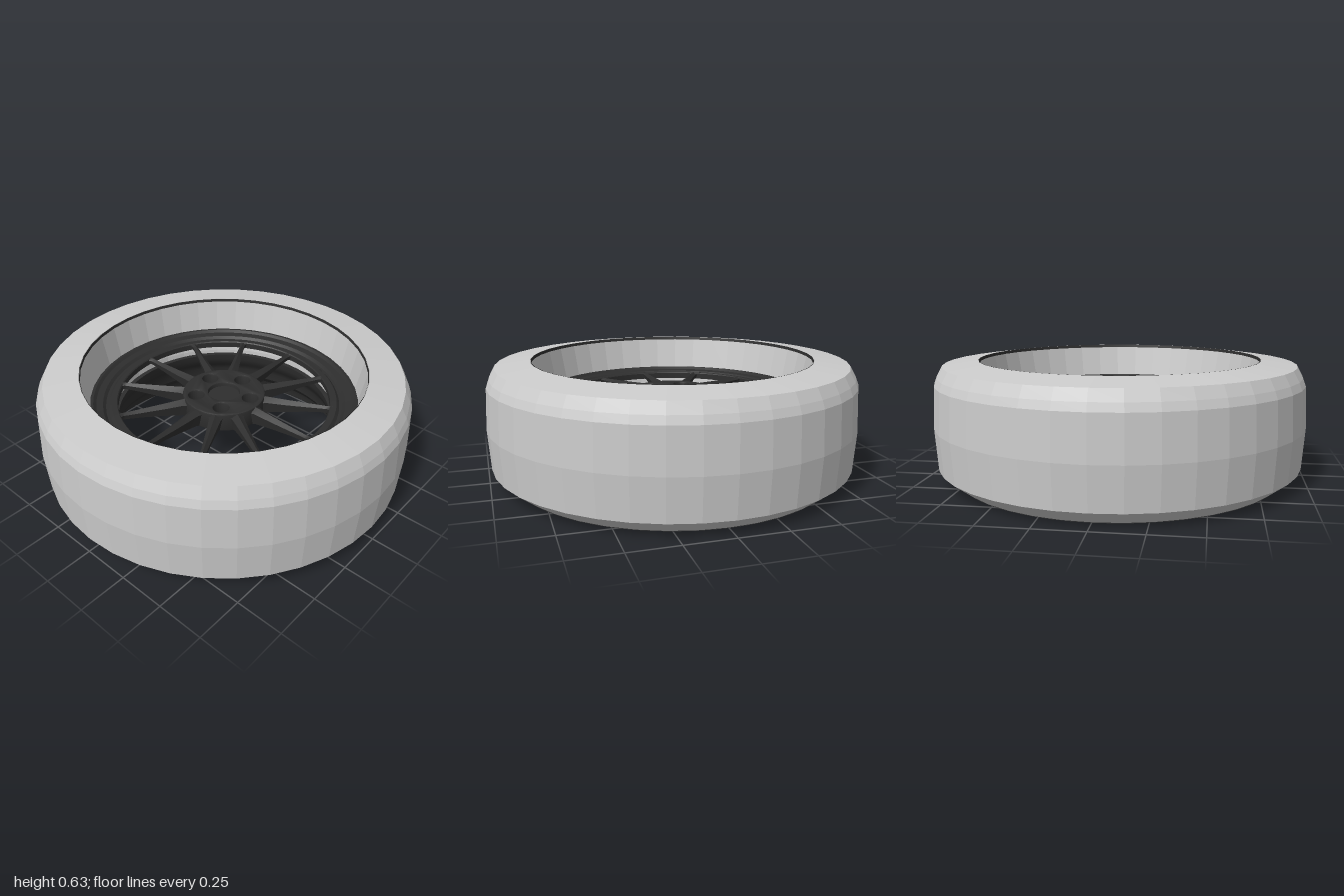
import * as THREE from 'three';
import { toCreasedNormals } from 'three/addons/utils/BufferGeometryUtils.js';

const rubber = new THREE.MeshStandardMaterial({ color: 0xcccccc, flatShading: true });
const metal = new THREE.MeshStandardMaterial({ color: 0x2e2e2e, side: THREE.DoubleSide });

const lathe = (profile, segments) =>
  new THREE.LatheGeometry(profile.map(([r, y]) => new THREE.Vector2(r, y)), segments);

function add(parent, name, geometry, material) {
  const mesh = new THREE.Mesh(geometry, material);
  mesh.name = name;
  parent.add(mesh);
  return mesh;
}

// Tapered spoke along +x: five-sided sections with a raised ridge
function spokeGeometry() {
  // radius, half width, ridge height, shoulder height, underside height
  const sections = [
    [0.17, 0.042, 0.448, 0.425, 0.345],
    [0.24, 0.031, 0.446, 0.425, 0.355],
    [0.34, 0.024, 0.440, 0.420, 0.370],
    [0.46, 0.017, 0.434, 0.418, 0.385],
    [0.55, 0.013, 0.430, 0.418, 0.392],
    [0.565, 0.016, 0.430, 0.420, 0.394],
    [0.59, 0.036, 0.430, 0.422, 0.394],
  ];
  const positions = [], index = [];
  for (const [r, w, ridge, shoulder, under] of sections) {
    positions.push(r, ridge, 0, r, shoulder, w, r, under, w * 0.6,
      r, under, -w * 0.6, r, shoulder, -w);
  }
  for (let i = 0; i < sections.length - 1; i++) {
    for (let j = 0; j < 5; j++) {
      const a = i * 5 + j, b = i * 5 + (j + 1) % 5;
      index.push(a, b, a + 5, b, b + 5, a + 5);
    }
  }
  const geometry = new THREE.BufferGeometry();
  geometry.setAttribute('position', new THREE.Float32BufferAttribute(positions, 3));
  geometry.setIndex(index);
  return toCreasedNormals(geometry, 0.6);
}

// Hub disc with five bolt holes and a centre bore
function hubGeometry() {
  const shape = new THREE.Shape().absarc(0, 0, 0.22, 0, Math.PI * 2);
  const hole = (x, y, r) =>
    shape.holes.push(new THREE.Path().absarc(x, y, r, 0, Math.PI * 2, true));
  hole(0, 0, 0.09);
  for (let i = 0; i < 5; i++) {
    const a = Math.PI / 2 + i * Math.PI * 2 / 5;
    hole(Math.cos(a) * 0.153, Math.sin(a) * 0.153, 0.047);
  }
  const geometry = new THREE.ExtrudeGeometry(shape, {
    depth: 0.085, curveSegments: 24,
    bevelThickness: 0.01, bevelSize: 0.008, bevelOffset: -0.004, bevelSegments: 2,
  });
  geometry.rotateX(-Math.PI / 2).translate(0, 0.355, 0);
  return toCreasedNormals(geometry, 0.6);
}

export function createModel() {
  const model = new THREE.Group();
  model.name = 'wheel';

  // Tyre with faceted tread, bevelled shoulders and deep inner wall
  add(model, 'tyre', lathe([
    [0.70, 0.2], [0.76, 0.02], [0.89, 0.002], [0.985, 0.075], [1.0, 0.29], [0.99, 0.51],
    [0.975, 0.55], [0.945, 0.605], [0.76, 0.63], [0.757, 0.612], [0.72, 0.43],
    [0.70, 0.3], [0.70, 0.2],
  ], 40), rubber);

  // Thin dark bead just inside the top edge
  add(model, 'topBead', lathe([[0.757, 0.63], [0.754, 0.614]], 40), metal);

  const rim = new THREE.Group();
  rim.name = 'rim';
  model.add(rim);

  // Stepped barrel opening out to the flat lower flange
  add(rim, 'barrel', toCreasedNormals(lathe([
    [0.605, 0.335], [0.58, 0.335], [0.585, 0.30], [0.60, 0.26], [0.625, 0.235],
    [0.64, 0.20], [0.645, 0.15], [0.67, 0.115], [0.71, 0.09], [0.725, 0.06],
    [0.73, 0.03], [0.755, 0.015], [0.76, 0], [0.89, 0],
  ], 64), 0.5), metal);

  // Ring that carries the spoke tips
  add(rim, 'faceRing', toCreasedNormals(lathe([
    [0.575, 0.393], [0.725, 0.393], [0.725, 0.44], [0.705, 0.442], [0.69, 0.43],
    [0.655, 0.425], [0.64, 0.412], [0.625, 0.412], [0.61, 0.428], [0.58, 0.43],
    [0.575, 0.425], [0.575, 0.393],
  ], 64), 0.5), metal);

  // Twelve spokes
  const spoke = spokeGeometry();
  for (let i = 0; i < 12; i++) {
    const mesh = add(rim, 'spoke', spoke, metal);
    // Shorten the roots that would cross a bolt hole
    mesh.geometry = spoke.clone();
    const p = mesh.geometry.attributes.position;
    for (let v = 0; v < p.count; v++) p.setX(v, Math.max(p.getX(v), 0.205));
    mesh.rotation.y = i * Math.PI / 6;
  }

  add(rim, 'hub', hubGeometry(), metal);

  // Recessed centre cap
  const cap = new THREE.CylinderGeometry(0.092, 0.07, 0.085, 12);
  add(rim, 'centreCap', toCreasedNormals(cap.translate(0, 0.383, 0), 0.6), metal);

  return model;
}
